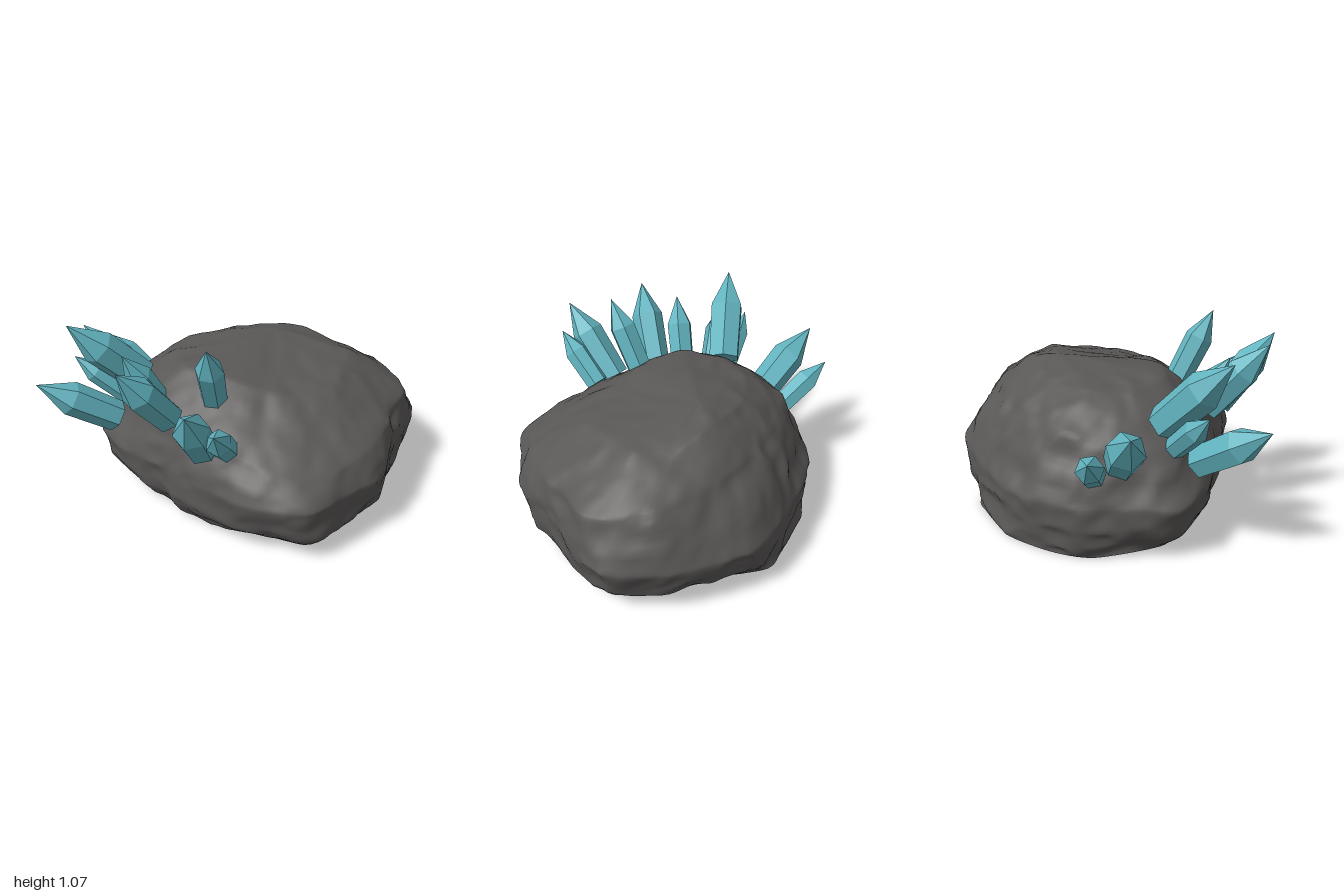
import * as THREE from 'three';

const V = (x, y, z) => new THREE.Vector3(x, y, z);
const CX = 0.12, CZ = -0.12; // vertical axis the rock is swept around

// closed loop, looked up by angle around the rock axis
function loop(points) {
  const pts = new THREE.CatmullRomCurve3(points, true, 'catmullrom', .35).getPoints(500);
  const byAngle = pts.map(p => ({ a: Math.atan2(p.z - CZ, p.x - CX), p })).sort((m, n) => m.a - n.a);
  return a => {
    let i = byAngle.findIndex(e => e.a >= a);
    if (i < 0) i = 0;
    const hi = byAngle[i], lo = byAngle[(i + byAngle.length - 1) % byAngle.length];
    const span = (hi.a - lo.a + 2 * Math.PI) % (2 * Math.PI);
    const t = span > 1e-6 ? ((a - lo.a + 2 * Math.PI) % (2 * Math.PI)) / span : 0;
    return lo.p.clone().lerp(hi.p, Math.min(t, 1));
  };
}
// loop from [x, z] pairs whose height follows a rule
const ring = (height, pairs) => loop(pairs.map(([x, z]) => V(x, height(x, z), z)));

// seeded value noise
function hash(x, y, z) {
  const s = Math.sin(x * 127.1 + y * 311.7 + z * 74.7) * 43758.5453;
  return (s - Math.floor(s)) * 2 - 1;
}
function noise(x, y, z) {
  const ix = Math.floor(x), iy = Math.floor(y), iz = Math.floor(z);
  const s = t => t * t * (3 - 2 * t);
  const u = s(x - ix), v = s(y - iy), w = s(z - iz);
  let sum = 0;
  for (let i = 0; i < 8; i++) {
    const a = i & 1, b = (i >> 1) & 1, c = i >> 2;
    sum += hash(ix + a, iy + b, iz + c) * (a ? u : 1 - u) * (b ? v : 1 - v) * (c ? w : 1 - w);
  }
  return sum;
}

function rockGeometry() {
  const base = ring(() => 0, [[.78, -.22], [.75, .12], [.62, .34], [.42, .51], [.1, .47], [-.2, .36],
    [-.45, .18], [-.6, 0], [-.6, -.36], [-.48, -.55], [-.25, -.73], [.05, -.8], [.2, -.8], [.52, -.52]]);
  const waist = ring((x, z) => .325 + .025 * x + .02 * z, [[.995, -.39], [.97, -.22], [.89, .04], [.84, .28],
    [.71, .5], [.62, .59], [.52, .7], [.42, .735], [.09, .68], [-.2, .52], [-.45, .35], [-.68, .16],
    [-.775, 0], [-.72, -.22], [-.62, -.48], [-.43, -.64], [-.2, -.75], [.1, -.82], [.35, -.85],
    [.55, -.77], [.79, -.63], [.92, -.51]]);
  const shoulder = loop([V(.905, .56, -.25), V(.73, .6, -.51), V(.3, .64, -.645), V(-.1, .64, -.59),
    V(-.4, .63, -.47), V(-.56, .6, -.25), V(-.58, .59, 0), V(-.46, .58, .22), V(-.22, .56, .43),
    V(.1, .53, .56), V(.42, .47, .62), V(.66, .49, .45), V(.83, .53, .13)]);
  const upper = loop([V(.59, .755, -.25), V(.46, .755, -.41), V(.25, .8, -.46), V(-.05, .78, -.43),
    V(-.27, .78, -.3), V(-.35, .77, -.1), V(-.25, .79, .12), V(0, .775, .2), V(.27, .72, .24), V(.52, .715, .12)]);
  const peak = V(.16, .835, -.32);

  const N = 160, M = 60, pos = [], idx = [];
  for (let i = 0; i < N; i++) {
    const a = -Math.PI + (i + 0.5) / N * Math.PI * 2;
    const b = base(a), w = waist(a);
    const low = b.clone().lerp(w, .73).setY(.13);
    const rib = new THREE.CatmullRomCurve3([b, low, w, shoulder(a), upper(a), peak], false, 'catmullrom', .2);
    for (let j = 0; j <= M; j++) {
      const p = rib.getPoint(j / M);
      // lumps and chips, fading towards the base edge and the peak
      const fade = Math.min(1, j / 4, (M - j) / 8);
      const side = Math.min(1, Math.max(.4, (M * .75 - j) / (M * .2)));
      const chip = Math.abs(noise(p.x * 6 + 9, p.y * 8, p.z * 6));
      const d = fade * (side * (.02 * noise(p.x * 4.5, p.y * 6, p.z * 4.5) - .03 * chip + .008)
        + .007 * noise(p.x * 15, p.y * 15, p.z * 15));
      const out = V(p.x - CX, (p.y - .33) * 1.2, p.z - CZ).normalize();
      p.addScaledVector(out, d);
      pos.push(p.x, Math.max(0, p.y), p.z);
    }
  }
  const at = (i, j) => (i % N) * (M + 1) + j;
  for (let i = 0; i < N; i++) for (let j = 0; j < M; j++) {
    idx.push(at(i, j), at(i, j + 1), at(i + 1, j));
    if (j < M - 1) idx.push(at(i + 1, j), at(i, j + 1), at(i + 1, j + 1));
  }
  // flat underside with its own corners, so the rim stays sharp
  const first = pos.length / 3;
  for (let i = 0; i < N; i++) pos.push(pos[at(i, 0) * 3], 0, pos[at(i, 0) * 3 + 2]);
  pos.push(CX, 0, CZ);
  for (let i = 0; i < N; i++) idx.push(first + N, first + i, first + (i + 1) % N);

  const g = new THREE.BufferGeometry();
  g.setAttribute('position', new THREE.Float32BufferAttribute(pos, 3));
  g.setIndex(idx);
  g.computeVertexNormals();
  return g;
}

// six-sided prism that swells slightly and ends in a point
function crystal(foot, tip, r, turn, material) {
  const axis = tip.clone().sub(foot), L = axis.length();
  const profile = [[0, 0], [r * .94, 0], [r, L - r * 2.2], [0, L]].map(([x, y]) => new THREE.Vector2(x, y));
  const mesh = new THREE.Mesh(new THREE.LatheGeometry(profile, 6, turn), material);
  mesh.position.copy(foot);
  mesh.quaternion.setFromUnitVectors(V(0, 1, 0), axis.normalize());
  return mesh;
}

export function createModel() {
  const model = new THREE.Group();
  model.name = 'crystalRock';
  const stone = new THREE.MeshStandardMaterial({ color: 0x5a5857 });
  const gem = new THREE.MeshStandardMaterial({ color: 0x62b4c0, flatShading: true });

  const rock = new THREE.Mesh(rockGeometry(), stone);
  rock.name = 'rock';
  model.add(rock);

  // foot, tip, radius of each crystal
  const crystals = new THREE.Group();
  crystals.name = 'crystals';
  [
    [V(-.53, .65, .02), V(-.85, 1.03, .23), .1],
    [V(-.64, .47, .17), V(-1, .74, .36), .092],
    [V(-.3, .61, .36), V(-.48, .98, .61), .09],
    [V(-.38, .6, .21), V(-.52, .95, .37), .075],
    [V(-.07, .7, .28), V(-.07, 1.07, .48), .075],
    [V(-.1, .54, .51), V(-.1, .92, .85), .092],
    [V(.03, .55, .52), V(.02, .8, .8), .068],
    [V(-.59, .5, -.22), V(-.96, .78, -.3), .096],
    [V(-.58, .45, -.36), V(-.87, .65, -.47), .07],
    [V(-.6, .54, .05), V(-.87, .79, .11), .062],
  ].forEach(([foot, tip, r], i) => {
    const c = crystal(foot, tip, r, i * .37, gem);
    c.name = 'crystal' + (i + 1);
    crystals.add(c);
  });
  model.add(crystals);
  return model;
}
